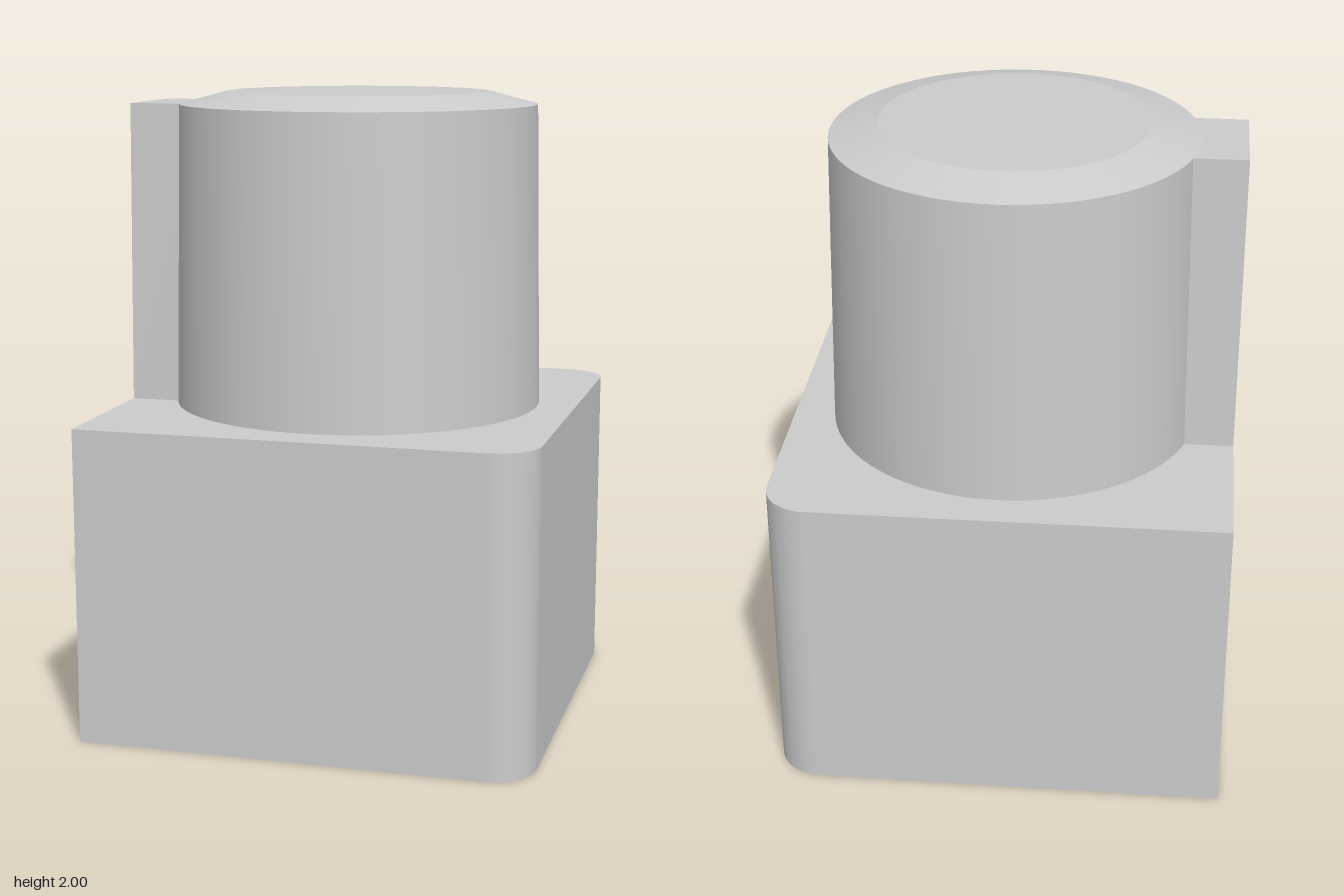
import * as THREE from 'three';
import { toCreasedNormals } from 'three/addons/utils/BufferGeometryUtils.js';

const HALF = 0.713, BASE_H = 1, SHOULDER = 1.96, CORNER = 0.14;

export function createModel() {
  const group = new THREE.Group();
  const material = new THREE.MeshStandardMaterial({ color: 0xcccccc });
  const add = (name, geometry) => {
    const mesh = new THREE.Mesh(geometry, material);
    mesh.name = name;
    group.add(mesh);
  };

  // Square block with the two +x vertical edges rounded
  const c = HALF - CORNER;
  const plan = new THREE.Shape();
  plan.moveTo(-HALF, -HALF);
  plan.lineTo(c, -HALF);
  plan.absarc(c, -c, CORNER, -Math.PI / 2, 0, false);
  plan.absarc(c, c, CORNER, 0, Math.PI / 2, false);
  plan.lineTo(-HALF, HALF);
  plan.closePath();
  const block = new THREE.ExtrudeGeometry(plan, { depth: BASE_H, bevelEnabled: false, curveSegments: 12 });
  block.rotateX(-Math.PI / 2);
  add('baseBlock', toCreasedNormals(block, 0.4));

  // Slightly tapered round post with a shallow chamfer on top
  const profile = [[0.591, BASE_H], [0.572, SHOULDER], [0.42, 2], [0, 2]]
    .map(([r, y]) => new THREE.Vector2(r, y));
  add('post', toCreasedNormals(new THREE.LatheGeometry(profile, 72), 0.18));

  // Drafted key rib running from the post to the -x face
  const section = new THREE.Shape([[-0.196, BASE_H], [0.196, BASE_H], [0.17, SHOULDER], [-0.17, SHOULDER]]
    .map(([z, y]) => new THREE.Vector2(z, y)));
  const inner = 0.45;
  const rib = new THREE.ExtrudeGeometry(section, { depth: HALF - inner, bevelEnabled: false });
  rib.rotateY(-Math.PI / 2).translate(-inner, 0, 0);
  add('keyRib', rib);

  return group;
}
